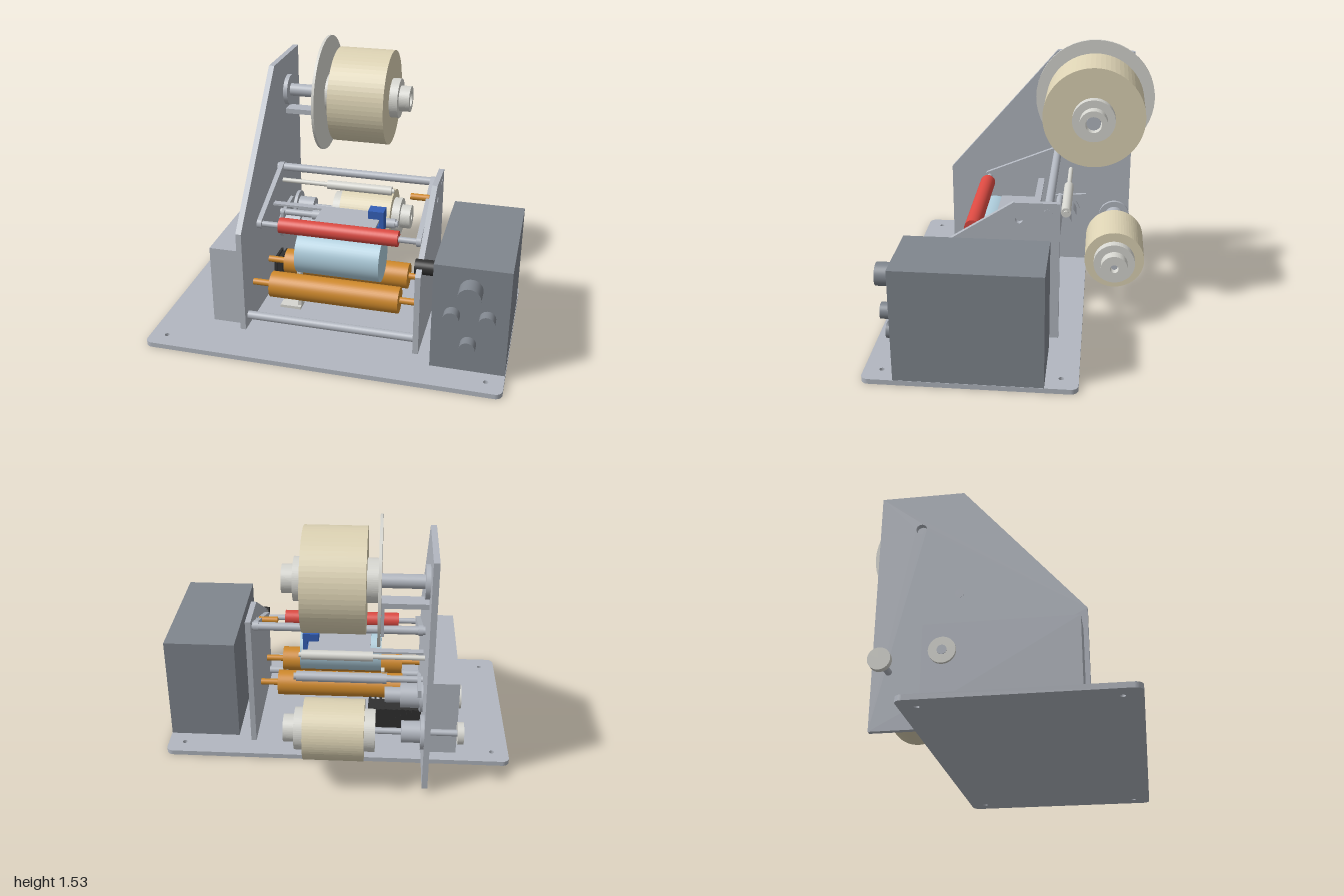
import * as THREE from 'three';

const mat = (name, color) => {
  const m = new THREE.MeshStandardMaterial({ color });
  m.name = name;
  return m;
};

export function createModel() {
  const model = new THREE.Group();
  model.name = 'labelMachine';

  const steel = mat('light steel', 0xb2b7c0);
  const housing = mat('housing grey', 0x80868e);
  const paper = mat('paper cream', 0xddd3b4);
  const plastic = mat('pale plastic', 0xd6d6d0);
  const orange = mat('orange roller', 0xd08a2c);
  const red = mat('red rubber', 0xdc4a42);
  const blue = mat('pale blue', 0xaecddc);
  const sensorBlue = mat('sensor blue', 0x3560b8);
  const black = mat('black', 0x303030);

  const add = (name, geometry, material) => {
    const mesh = new THREE.Mesh(geometry, material);
    mesh.name = name;
    model.add(mesh);
    return mesh;
  };
  // Box given by its limits on each axis
  const box = (name, x0, x1, y0, y1, z0, z1, material) =>
    add(name, new THREE.BoxGeometry(x1 - x0, y1 - y0, z1 - z0), material)
      .position.set((x0 + x1) / 2, (y0 + y1) / 2, (z0 + z1) / 2);
  // Cylinder along x
  const rod = (name, x0, x1, r, y, z, material) =>
    add(name, new THREE.CylinderGeometry(r, r, x1 - x0, 48).rotateZ(Math.PI / 2), material)
      .position.set((x0 + x1) / 2, y, z);
  // Ring along x with an open bore
  const tube = (name, x0, x1, r, bore, y, z, material) => {
    const s = new THREE.Shape().absarc(z, y, r, 0, Math.PI * 2);
    s.holes.push(new THREE.Path().absarc(z, y, bore, 0, Math.PI * 2, true));
    plate(name, s, x0, x1, material);
  };
  // Profile in (z, y), extruded along x
  const plate = (name, shape, x0, x1, material) => {
    const g = new THREE.ExtrudeGeometry(shape, { depth: x1 - x0, bevelEnabled: false, curveSegments: 32 });
    add(name, g.rotateY(-Math.PI / 2).translate(x1, 0, 0), material);
  };
  const polygon = (pts) => new THREE.Shape(pts.map(([a, b]) => new THREE.Vector2(a, b)));
  const hole = (shape, a, b, r) =>
    shape.holes.push(new THREE.Path().absarc(a, b, r, 0, Math.PI * 2, true));
  // Link with round ends between two (z, y) points
  const link = (name, z0, y0, z1, y1, r, x0, x1, material) => {
    const a = Math.atan2(y1 - y0, z1 - z0);
    const s = new THREE.Shape();
    s.absarc(z1, y1, r, a - Math.PI / 2, a + Math.PI / 2);
    s.absarc(z0, y0, r, a + Math.PI / 2, a + Math.PI * 1.5);
    plate(name, s, x0, x1, material);
  };

  // Base plate with rounded corners and mounting holes
  const base = new THREE.Shape();
  const c = 0.04;
  base.absarc(1 - c, 0.375 - c, c, 0, Math.PI / 2);
  base.absarc(-1 + c, 0.375 - c, c, Math.PI / 2, Math.PI);
  base.absarc(-1 + c, -0.745 + c, c, Math.PI, Math.PI * 1.5);
  base.absarc(1 - c, -0.745 + c, c, Math.PI * 1.5, Math.PI * 2);
  for (const x of [-0.905, 0.905]) for (const y of [0.285, -0.65]) hole(base, x, y, 0.014);
  add('basePlate', new THREE.ExtrudeGeometry(base, { depth: 0.028, bevelEnabled: false })
    .rotateX(-Math.PI / 2), steel);

  // Upright side plates
  const main = polygon([[0.49, 0.028], [0.49, 0.64], [-0.17, 1.405], [-0.635, 1.405], [-0.635, 0.028]]);
  hole(main, -0.405, 1.19, 0.03);
  plate('mainSidePlate', main, -0.52, -0.488, steel);
  const small = polygon([[0.49, 0.028], [0.49, 0.51], [0, 0.83], [-0.247, 0.83], [-0.247, 0.028]]);
  hole(small, -0.03, 0.733, 0.02);
  plate('smallSidePlate', small, 0.483, 0.514, steel);

  // Control box and knobs
  box('controlBox', 0.592, 0.998, 0.028, 0.653, -0.202, 0.575, housing);
  for (const [x, y, r, d] of [[0.793, 0.528, 0.062, 0.102], [0.7, 0.37, 0.043, 0.063],
    [0.887, 0.37, 0.043, 0.063], [0.793, 0.2, 0.043, 0.063]]) {
    add('controlKnob', new THREE.CylinderGeometry(r, r, d, 40).rotateX(Math.PI / 2), housing)
      .position.set(x, y, 0.575 + d / 2);
  }

  // Gear cover with dial on the outside
  box('gearCover', -0.69, -0.52, 0.05, 0.52, -0.332, 0.465, steel);
  rod('coverDial', -0.706, -0.69, 0.07, 0.37, -0.225, plastic);
  rod('dialShaft', -0.709, -0.706, 0.025, 0.37, -0.225, steel);

  // Supply and take-up spools
  for (const [name, y, z, r, shaft] of [['supply', 1.19, -0.405, 0.28, 0.038], ['takeUp', 0.345, -0.545, 0.17, 0.018]]) {
    tube(name + 'Roll', -0.165, 0.165, r, 0.115, y, z, paper);
    tube(name + 'Hub', -0.224, 0.215, 0.117, 0.05, y, z, plastic);
    tube(name + 'HubNose', 0.215, 0.277, 0.076, shaft + 0.006, y, z, plastic);
    rod(name + 'Shaft', -0.488, 0.25, shaft, y, z, steel);
  }
  rod('supplyFlange', -0.24, -0.225, 0.343, 1.19, -0.405, plastic);
  rod('supplyShaftCollar', -0.488, -0.463, 0.092, 1.19, -0.405, steel);
  rod('takeUpCollar', -0.488, -0.468, 0.095, 0.345, -0.545, steel);
  rod('takeUpBearing', -0.468, -0.365, 0.06, 0.345, -0.545, steel);
  rod('takeUpOuterShaft', -0.67, -0.52, 0.018, 0.345, -0.545, steel);
  rod('takeUpKnob', -0.703, -0.67, 0.06, 0.345, -0.545, plastic);

  // Brake bracket below the supply shaft
  box('brakeBracket', -0.488, -0.225, 1.05, 1.08, -0.45, -0.36, steel);
  box('brakePad', -0.257, -0.241, 0.88, 1.06, -0.45, -0.36, steel);

  // Cross bars joining the side plates
  rod('upperCrossBar', -0.522, 0.516, 0.024, 0.773, -0.182, steel);
  rod('lowerCrossBar', -0.488, 0.483, 0.024, 0.095, 0.435, steel);

  // Pressure roller on its swinging arms
  rod('pressureRoller', -0.345, 0.345, 0.045, 0.598, 0.245, red);
  rod('pressureShaft', -0.475, 0.475, 0.017, 0.595, 0.245, steel);
  for (const x of [-0.475, 0.447]) link('pressureArm', -0.18, 0.773, 0.245, 0.597, 0.03, x, x + 0.028, steel);

  // Carried bottle and the two rollers beneath it
  rod('bottle', -0.245, 0.245, 0.128, 0.42, 0.185, blue);
  for (const z of [0.325, 0.045]) {
    rod('supportRoller', -0.375, 0.375, 0.075, 0.255, z, orange);
    rod('supportShaft', -0.488, 0.483, 0.019, 0.255, z, orange);
  }

  // Guide rollers for the web
  rod('guideRoller', -0.2, 0.2, 0.028, 0.645, -0.265, plastic);
  rod('guideShaft', -0.488, 0.215, 0.014, 0.645, -0.265, plastic);
  rod('lowerGuideRoller', -0.28, 0.24, 0.03, 0.46, -0.2, steel);
  rod('lowerGuideShaft', -0.488, 0.255, 0.02, 0.46, -0.2, steel);

  // Drive spindle and tension arm
  rod('driveCollar', -0.488, -0.47, 0.09, 0.37, -0.235, steel);
  rod('driveHub', -0.47, -0.36, 0.072, 0.375, -0.235, steel);
  rod('driveNose', -0.36, -0.27, 0.045, 0.375, -0.235, steel);
  plate('tensionArm', polygon([[-0.15, 0.43], [-0.15, 0.475], [-0.365, 0.492], [-0.365, 0.445]]), -0.475, -0.455, steel);

  // Peel plate with its turned-down rear edge
  box('peelPlate', -0.182, 0.182, 0.565, 0.577, -0.1, 0.14, steel);
  box('peelPlateLip', -0.182, 0.182, 0.51, 0.565, -0.1, -0.088, steel);
  box('peelPlateBracket', -0.488, -0.182, 0.565, 0.577, -0.1, -0.06, steel);

  // Fork sensor and end sensor
  box('forkSensorTop', 0.122, 0.215, 0.597, 0.645, -0.037, 0.04, sensorBlue);
  box('forkSensorBottom', 0.122, 0.215, 0.515, 0.555, -0.037, 0.04, sensorBlue);
  box('forkSensorBack', 0.19, 0.215, 0.555, 0.597, -0.037, 0.04, sensorBlue);
  rod('endSensor', 0.357, 0.465, 0.019, 0.733, -0.035, orange);

  // Finned motor
  box('motorCore', -0.488, -0.175, 0.06, 0.21, -0.15, -0.04, black);
  for (let i = 0; i < 10; i++) {
    const x = -0.48 + i * 0.032;
    box('motorFin', x, x + 0.014, 0.05, 0.222, -0.162, -0.034, black);
  }

  // Small foot bracket
  box('footPlate', -0.37, -0.245, 0.028, 0.045, 0.13, 0.21, plastic);
  box('footPost', -0.268, -0.245, 0.045, 0.29, 0.15, 0.19, plastic);

  // Clamp knob on the small side plate
  rod('clampKnob', 0.47, 0.575, 0.042, 0.532, 0.405, black);

  return model;
}
